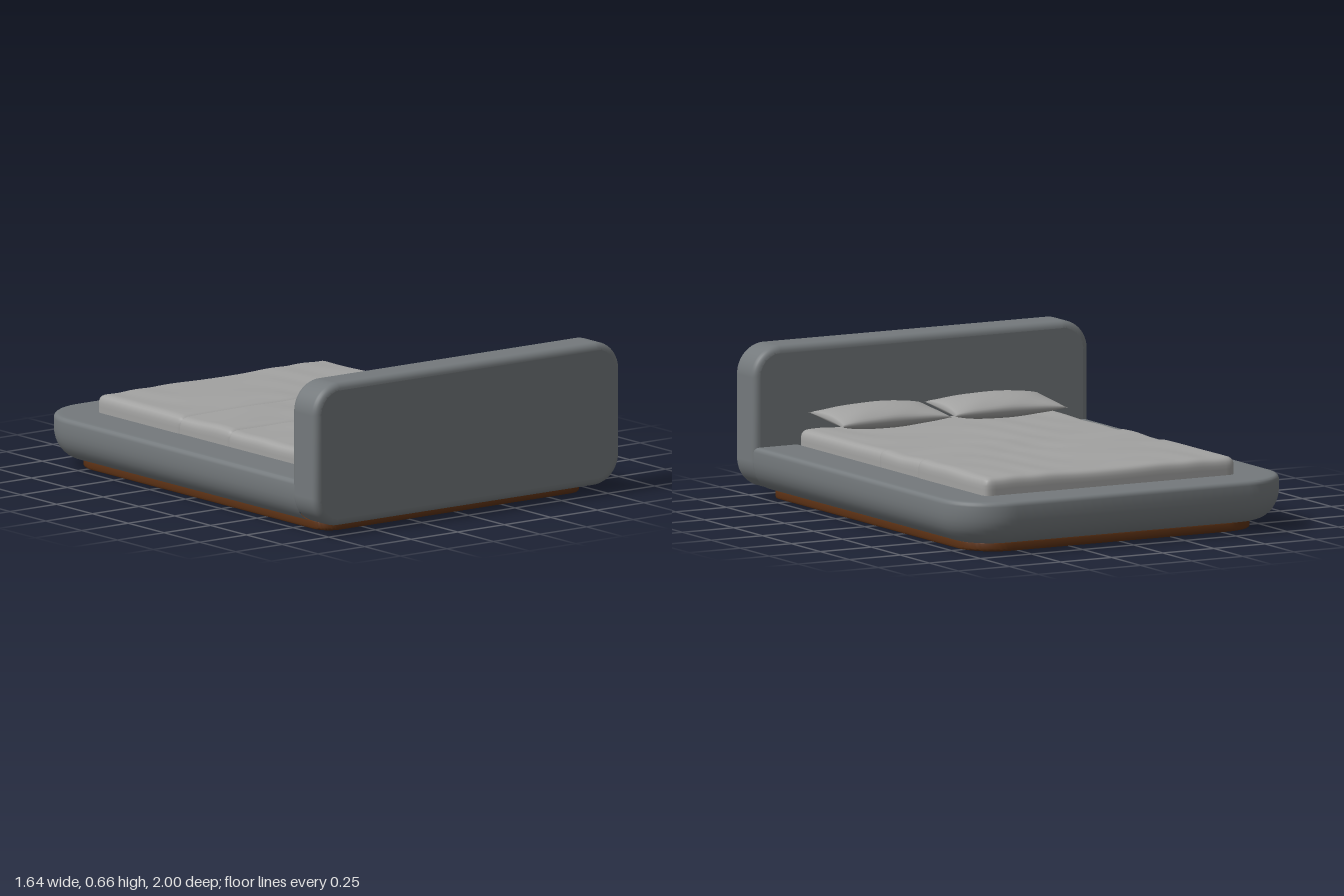
import * as THREE from 'three';
import { mergeVertices, toCreasedNormals } from 'three/addons/utils/BufferGeometryUtils.js';

const mat = (name, color) => Object.assign(new THREE.MeshStandardMaterial({ color }), { name });

// Welds a geometry so that its normals are smooth
function smooth(geo) {
  geo.deleteAttribute('uv');
  geo.deleteAttribute('normal');
  const g = mergeVertices(geo, 1e-5);
  g.computeVertexNormals();
  return g;
}

// Traces a rounded rectangle with separate top and bottom corner radii
function roundRect(path, x, y0, y1, rTop, rBot) {
  path.moveTo(-x + rBot, y0);
  path.lineTo(x - rBot, y0);
  path.absarc(x - rBot, y0 + rBot, rBot, -Math.PI / 2, 0);
  path.lineTo(x, y1 - rTop);
  path.absarc(x - rTop, y1 - rTop, rTop, 0, Math.PI / 2);
  path.lineTo(-x + rTop, y1);
  path.absarc(-x + rTop, y1 - rTop, rTop, Math.PI / 2, Math.PI);
  path.lineTo(-x, y0 + rBot);
  path.absarc(-x + rBot, y0 + rBot, rBot, Math.PI, Math.PI * 1.5);
  return path;
}

// Upholstered U-shaped surround: a padded profile swept round the outline
function surroundGeometry() {
  const X = 0.815, Z = 0.85, R = 0.25, path = [];
  path.push([X, Z, 1, 0]);
  for (const [cx, start] of [[X - R, 0], [R - X, Math.PI / 2]]) {
    for (let i = 0; i <= 14; i++) {
      const a = start + (i / 14) * Math.PI / 2;
      path.push([cx + R * Math.cos(a), -1 + R - R * Math.sin(a), Math.cos(a), -Math.sin(a)]);
    }
  }
  path.push([-X, Z, -1, 0]);

  // Profile points: distance in from the outline, height
  const profile = [[0.205, 0.04], [0.14, 0.04]];
  for (let i = 0; i <= 9; i++) {
    const a = (i / 9) * Math.PI / 2;
    profile.push([0.11 - 0.11 * Math.sin(a), 0.17 - 0.13 * Math.cos(a)]);
  }
  for (let i = 0; i <= 4; i++) {
    const a = (i / 4) * Math.PI / 2;
    profile.push([0.02 - 0.02 * Math.cos(a), 0.21 + 0.02 * Math.sin(a)]);
  }
  profile.push([0.04, 0.23], [0.205, 0.23]);

  const pos = [], index = [], n = profile.length;
  for (const [x, z, nx, nz] of path)
    for (const [d, y] of profile) pos.push(x - nx * d, y, z - nz * d);
  for (let i = 0; i < path.length - 1; i++) {
    for (let j = 0; j < n; j++) {
      const k = (j + 1) % n, a = i * n + j, b = a + n, c = i * n + k, d = c + n;
      index.push(a, b, c, b, d, c);
    }
  }
  const g = new THREE.BufferGeometry();
  g.setAttribute('position', new THREE.Float32BufferAttribute(pos, 3));
  g.setIndex(index);
  return toCreasedNormals(g, 0.6);
}

// Soft folds in the cloth
const folds = (x, z) =>
  0.0018 * Math.sin(9 * x + 5 * z + 2 * Math.sin(6 * z)) +
  0.0014 * Math.sin(21 * x - 13 * z + 2.5 * Math.sin(7 * x + 4 * z));

// Rounded layer of bedding with a gently folded top
function beddingGeometry(hx, y0, y1, z0, z1, r) {
  const size = [2 * hx, y1 - y0, z1 - z0];
  const g = new THREE.BoxGeometry(...size, 72, 9, Math.round(size[2] * 60));
  const p = g.attributes.position, v = new THREE.Vector3(), c = new THREE.Vector3();
  const inner = new THREE.Vector3(...size).multiplyScalar(0.5).subScalar(r);
  for (let i = 0; i < p.count; i++) {
    v.fromBufferAttribute(p, i);
    c.copy(v).clamp(inner.clone().negate(), inner);
    v.sub(c).setLength(r).add(c);
    v.y += (y0 + y1) / 2;
    v.z += (z0 + z1) / 2;
    if (v.y > y0 + 0.06) v.y += folds(v.x, v.z) * (v.y - y0) / (y1 - y0);
    p.setXYZ(i, v.x, v.y, v.z);
  }
  return smooth(g);
}

// Pillow with pinched corners and bowed-in edges
function pillowGeometry(hw, h, hd) {
  const g = new THREE.BoxGeometry(2, 2, 2, 36, 1, 24), p = g.attributes.position;
  for (let i = 0; i < p.count; i++) {
    const u = p.getX(i), v = p.getZ(i), s = Math.sign(p.getY(i));
    const puff = Math.pow(Math.max(0, (1 - u * u) * (1 - v * v)), 0.55);
    const crease = 1 + 0.05 * Math.sin(8 * u + 5 * v) * (1 - puff);
    p.setXYZ(i, hw * u * (1 - 0.06 * (1 - v * v)), s * h * puff * crease, hd * v * (1 - 0.07 * (1 - u * u)));
  }
  return smooth(g);
}

export function createModel() {
  const bed = new THREE.Group();
  bed.name = 'bed';
  const upholstery = mat('grey upholstery', 0x74797c);
  const linen = mat('light grey linen', 0xa2a2a1);
  const wood = mat('brown wood', 0x5c3114);
  const white = mat('white mattress', 0xe6e6e4);
  const add = (name, geo, material, x = 0, y = 0, z = 0, parent = bed) => {
    const m = new THREE.Mesh(geo, material);
    m.name = name;
    m.position.set(x, y, z);
    parent.add(m);
    return m;
  };
  const box = (w, h, d) => new THREE.BoxGeometry(w, h, d);

  // Headboard
  const bevel = 0.03;
  const board = roundRect(new THREE.Shape(), 0.82 - bevel, 0.04 + bevel, 0.66 - bevel, 0.1, 0.1);
  add('headboard', smooth(new THREE.ExtrudeGeometry(board, {
    depth: 0.17 - 2 * bevel, bevelSize: bevel, bevelThickness: bevel, bevelSegments: 5, curveSegments: 12,
  })), upholstery, 0, 0, 0.83 + bevel);

  // Padded surround
  add('surround', surroundGeometry(), upholstery);

  // Wooden plinth ring
  const b = 0.01;
  const ring = roundRect(new THREE.Shape(), 0.705 - b, -0.915 + b, 0.89 - b, 0.17, 0.08);
  ring.holes.push(roundRect(new THREE.Path(), 0.665 + b, -0.875 - b, 0.85 + b, 0.15, 0.06));
  const ringGeo = new THREE.ExtrudeGeometry(ring, {
    depth: 0.045 - 2 * b, bevelSize: b, bevelThickness: b, bevelSegments: 3, curveSegments: 12,
  });
  ringGeo.rotateX(-Math.PI / 2);
  add('plinth', toCreasedNormals(ringGeo, 0.6), wood, 0, b, 0);

  // Slatted base
  const base = new THREE.Group();
  base.name = 'slattedBase';
  bed.add(base);
  for (const s of [1, -1]) {
    add('sideRail', box(0.04, 0.06, 1.6), wood, s * 0.58, 0.1, 0.01, base);
    add('endRail', box(1.16, 0.06, 0.04), wood, 0, 0.1, 0.01 + s * 0.78, base);
  }
  const slats = 17;
  for (let i = 0; i < slats; i++)
    add('slat', box(1.16, 0.02, 0.064), wood, 0, 0.115, 0.01 + (i - (slats - 1) / 2) * 0.09, base);

  // Mattress and layered bedding
  add('mattress', box(1.18, 0.1, 1.6), white, 0, 0.18, 0.02);
  add('sheet', beddingGeometry(0.606, 0.15, 0.297, -0.79, 0.83, 0.035), linen);
  add('blanket', beddingGeometry(0.61, 0.151, 0.302, -0.795, 0.14, 0.035), linen);
  add('footThrow', beddingGeometry(0.614, 0.152, 0.307, -0.805, -0.2, 0.035), linen);

  // Pillows
  const pillow = pillowGeometry(0.275, 0.05, 0.14);
  for (const s of [1, -1]) {
    const m = add(s > 0 ? 'leftPillow' : 'rightPillow', pillow, linen, s * 0.282, 0.352, 0.688);
    m.rotation.set(-0.1, s * 0.02, 0);
  }
  return bed;
}
